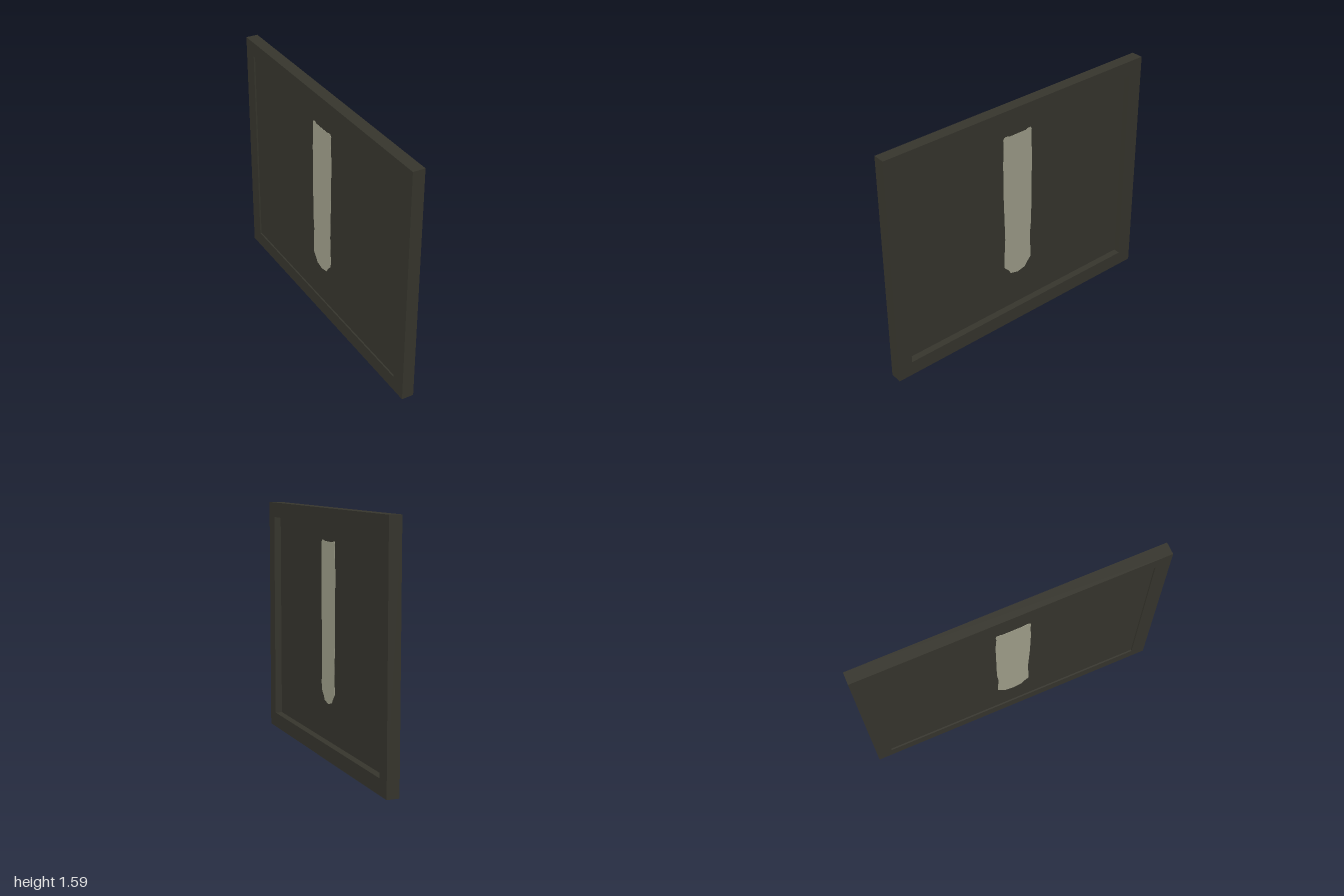
import * as THREE from 'three';

const HEIGHT = 1.59, BORDER = 0.1;
const PANEL_BACK = -0.03, PANEL_FRONT = -0.007;

// Outline of the painted stripe as [z, y]
const STRIPE = [
  [0.1, 1.385], [0.085, 1.385], [0.06, 1.378], [-0.07, 1.378], [-0.085, 1.385], [-0.105, 1.385],
  [-0.112, 1.37], [-0.108, 1.33], [-0.115, 1.2], [-0.112, 0.7], [-0.102, 0.6], [-0.11, 0.42],
  [-0.075, 0.38], [-0.06, 0.357], [0, 0.343], [0.06, 0.357], [0.075, 0.385], [0.11, 0.42],
  [0.112, 0.47], [0.103, 0.64], [0.113, 0.95], [0.115, 1.2], [0.11, 1.3], [0.113, 1.37],
];

const toPoints = (pairs) => pairs.map(([z, y]) => new THREE.Vector2(z, y));

function rectangle(halfWidth, bottom, top) {
  return toPoints([[-halfWidth, bottom], [halfWidth, bottom], [halfWidth, top], [-halfWidth, top]]);
}

// Extrudes a z-y outline between two x positions
function slab(name, shape, x0, x1, material) {
  const geometry = new THREE.ExtrudeGeometry(shape, { depth: x1 - x0, bevelEnabled: false });
  geometry.rotateY(-Math.PI / 2).translate(x1, 0, 0);
  const mesh = new THREE.Mesh(geometry, material);
  mesh.name = name;
  return mesh;
}

export function createModel() {
  const dark = new THREE.MeshStandardMaterial({ color: 0x36352d });
  dark.name = 'dark olive';
  const pale = new THREE.MeshStandardMaterial({ color: 0xa09f8b });
  pale.name = 'pale khaki';

  const group = new THREE.Group();
  group.name = 'framedPanel';

  // Square-edged border around the opening
  const border = new THREE.Shape(rectangle(1, 0, HEIGHT));
  border.holes.push(new THREE.Path(rectangle(1 - BORDER, BORDER, HEIGHT - BORDER)));
  group.add(slab('frame', border, -0.04, 0.04, dark));

  // Panel set closer to the left-hand face
  const sheet = new THREE.Shape(rectangle(1 - BORDER, BORDER, HEIGHT - BORDER));
  group.add(slab('panel', sheet, PANEL_BACK, PANEL_FRONT, dark));

  // Painted stripe on both faces
  const stripe = new THREE.Shape(toPoints(STRIPE));
  group.add(slab('stripeFront', stripe, PANEL_FRONT, PANEL_FRONT + 0.002, pale));
  group.add(slab('stripeBack', stripe, PANEL_BACK - 0.002, PANEL_BACK, pale));

  return group;
}
